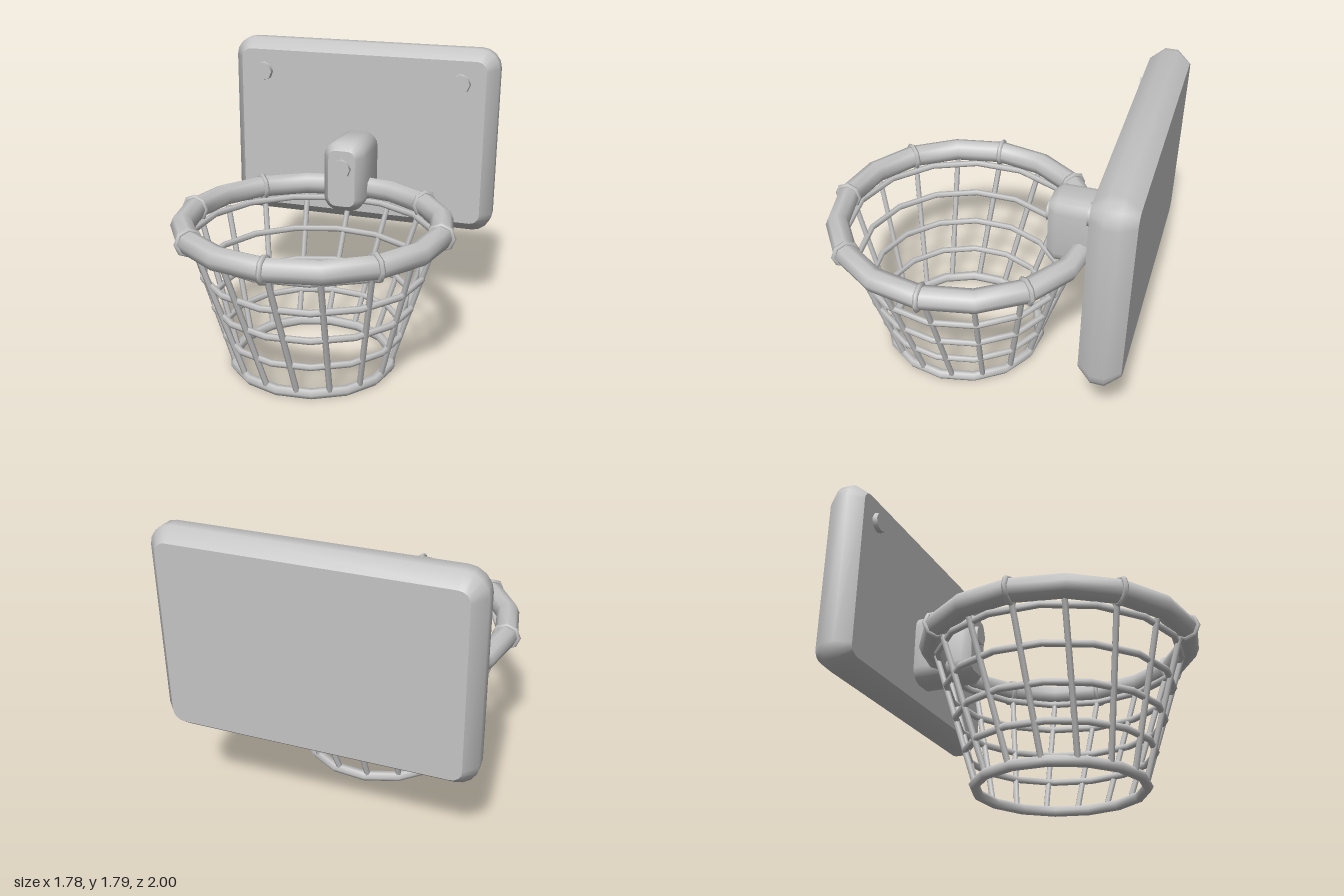
import * as THREE from 'three';
import { toCreasedNormals } from 'three/addons/utils/BufferGeometryUtils.js';

const RIM_Z = 0.142, RIM_Y = 0.9, RIM_R = 0.765;

export function createModel() {
  const model = new THREE.Group();
  model.name = 'basketballHoop';
  const grey = new THREE.MeshStandardMaterial({ color: 0xc4c4c4 });
  grey.name = 'plain grey';

  function add(name, geometry, parent = model) {
    const mesh = new THREE.Mesh(geometry, grey);
    mesh.name = name;
    parent.add(mesh);
    return mesh;
  }

  // Upright slab with rounded corners and one chamfer on its front and back edges
  function slab(w, h, d, corner, size, thick) {
    const x = w / 2 - size, y = h / 2 - size, r = corner - size;
    const s = new THREE.Shape();
    s.moveTo(-x + r, -y);
    s.lineTo(x - r, -y);
    s.absarc(x - r, -y + r, r, -Math.PI / 2, 0);
    s.absarc(x - r, y - r, r, 0, Math.PI / 2);
    s.absarc(-x + r, y - r, r, Math.PI / 2, Math.PI);
    s.absarc(-x + r, -y + r, r, Math.PI, Math.PI * 1.5);
    const g = new THREE.ExtrudeGeometry(s, {
      depth: d - 2 * thick, bevelEnabled: true, bevelSegments: 1,
      bevelSize: size, bevelThickness: thick, curveSegments: 2,
    });
    g.translate(0, 0, thick - d / 2);
    return toCreasedNormals(g, 0.82);
  }

  // Backboard and the bracket that carries the rim
  add('backboard', slab(1.78, 1.2, 0.235, 0.13, 0.067, 0.08)).position.set(0, 1.2, -0.8825);
  add('bracket', slab(0.26, 0.45, 0.42, 0.09, 0.042, 0.05)).position.set(0, 1.005, -0.605);

  // Eight-sided bolt heads
  function bolt(x, y, z) {
    const g = new THREE.CylinderGeometry(0.06, 0.065, 0.05, 8);
    g.rotateX(Math.PI / 2);
    add('bolt', toCreasedNormals(g, 0.9)).position.set(x, y, z);
  }
  for (const side of [-1, 1]) bolt(side * 0.665, 1.59, -0.76);
  bolt(0, 1.075, -0.398);

  // Level ring around the hoop's axis
  function ring(name, radius, tube, y, sides, around) {
    const g = new THREE.TorusGeometry(radius, tube, sides, around);
    g.rotateX(Math.PI / 2);
    add(name, g).position.set(0, y, RIM_Z);
  }
  ring('rim', RIM_R, 0.07, RIM_Y, 8, 16);

  // Ties wrapped round the rim
  for (let i = 0; i < 8; i++) {
    const pivot = new THREE.Group();
    pivot.name = 'rimTie';
    pivot.position.set(0, RIM_Y, RIM_Z);
    pivot.rotation.y = i * Math.PI / 4;
    model.add(pivot);
    add('tieLoop', new THREE.TorusGeometry(0.072, 0.016, 6, 8), pivot).position.x = RIM_R;
  }

  // Net: level hoops shrinking downwards, the lowest one thicker
  const hoops = [[0.72, 0.82], [0.662, 0.622], [0.602, 0.427], [0.541, 0.234]];
  for (const [r, y] of hoops) ring('netHoop', r, 0.02, y, 6, 15);
  ring('netBottomHoop', 0.485, 0.031, 0.035, 6, 15);

  // Net strands, twisted slightly as they fall
  const twist = THREE.MathUtils.degToRad(8);
  const up = new THREE.Vector3(0, 1, 0);
  const point = (a, r, y) => new THREE.Vector3(Math.sin(a) * r, y, RIM_Z + Math.cos(a) * r);
  for (let i = 0; i < 16; i++) {
    const a = i * Math.PI / 8;
    const top = point(a, 0.727, 0.84), bottom = point(a + twist, 0.485, 0.05);
    const dir = top.clone().sub(bottom);
    const strand = add('netStrand', new THREE.CylinderGeometry(0.018, 0.018, dir.length(), 6));
    strand.position.copy(top).add(bottom).multiplyScalar(0.5);
    strand.quaternion.setFromUnitVectors(up, dir.normalize());
  }
  return model;
}
